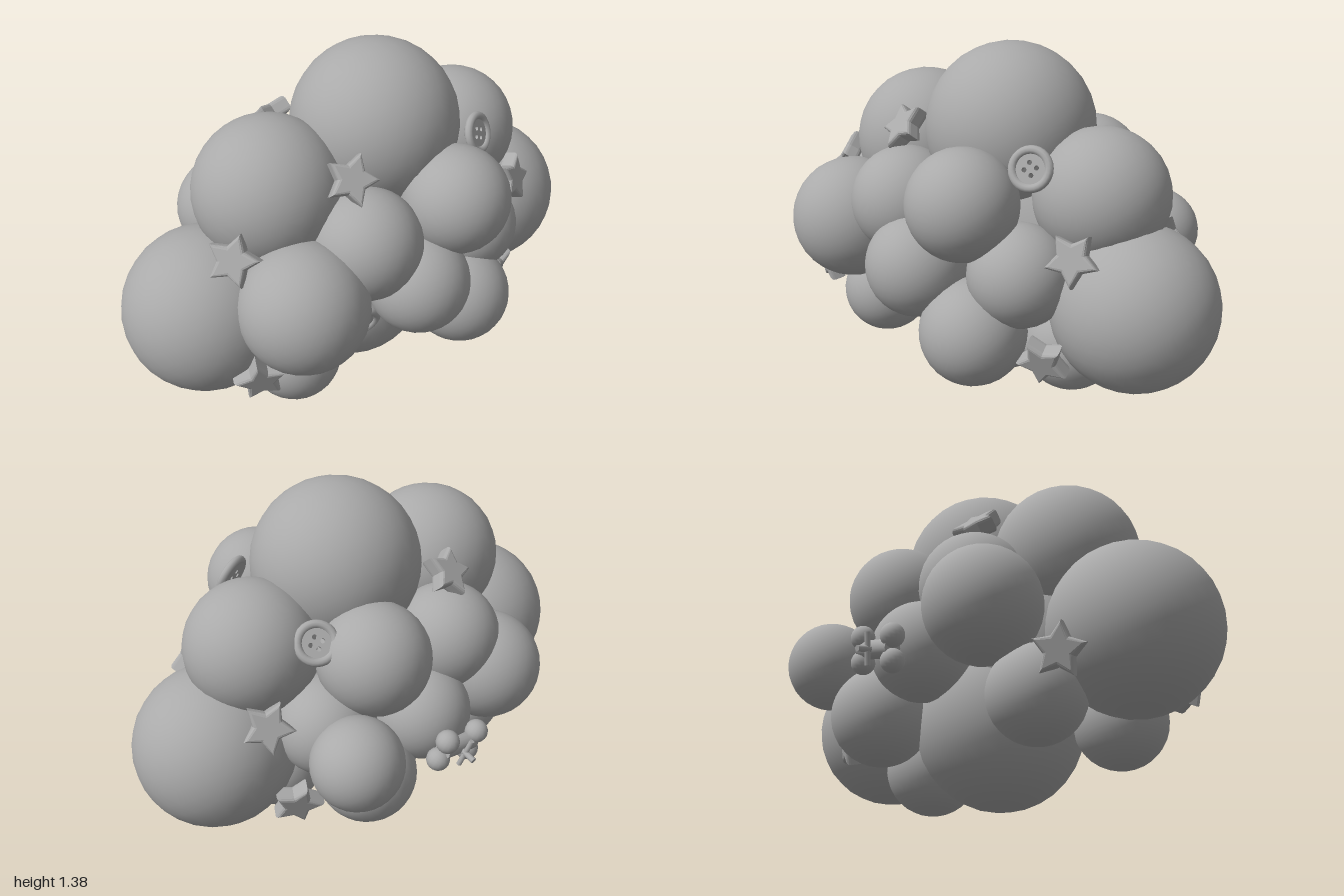
import * as THREE from 'three';

const grey = new THREE.MeshStandardMaterial({ color: 0xaaaaaa });
grey.name = 'plain grey';

function add(parent, name, geometry) {
  const mesh = new THREE.Mesh(geometry, grey);
  mesh.name = name;
  parent.add(mesh);
  return mesh;
}

// Turns a part so that its local +z points along the given outward normal
function place(part, position, normal) {
  part.position.set(...position);
  part.quaternion.setFromUnitVectors(new THREE.Vector3(0, 0, 1), new THREE.Vector3(...normal).normalize());
  return part;
}

// Puffy five-pointed star
function starGeometry(radius) {
  const shape = new THREE.Shape();
  for (let i = 0; i < 10; i++) {
    const r = i % 2 ? radius * 0.5 : radius;
    const a = Math.PI / 2 + (i * Math.PI) / 5;
    const p = [r * Math.cos(a), r * Math.sin(a)];
    if (i) shape.lineTo(...p); else shape.moveTo(...p);
  }
  shape.closePath();
  const geometry = new THREE.ExtrudeGeometry(shape, {
    depth: 0.035, bevelEnabled: true, bevelThickness: 0.016, bevelSize: 0.013, bevelSegments: 3,
  });
  return geometry.translate(0, 0, -0.018);
}

// Sewing button: rounded rim around a recessed disc with four holes
function makeButton(radius) {
  const button = new THREE.Group();
  button.name = 'button';
  add(button, 'buttonRim', new THREE.TorusGeometry(radius * 0.84, radius * 0.2, 10, 28));
  const disc = new THREE.Shape();
  disc.absarc(0, 0, radius * 0.78, 0, Math.PI * 2);
  for (const x of [-1, 1]) for (const y of [-1, 1]) {
    const hole = new THREE.Path();
    hole.absarc(x * radius * 0.2, y * radius * 0.2, radius * 0.11, 0, Math.PI * 2, true);
    disc.holes.push(hole);
  }
  const face = new THREE.ExtrudeGeometry(disc, { depth: 0.02, bevelEnabled: false, curveSegments: 16 });
  add(button, 'buttonFace', face).position.z = -0.015;
  return button;
}

export function createModel() {
  const model = new THREE.Group();
  model.name = 'ballCluster';

  // Balls: x, y, z, radius
  const centreBalls = [
    [0.045, 0.52, 0.685, 0.315], // front
    [0.035, 0.925, 0.385, 0.285], // upper front
    [0.04, 1.055, -0.09, 0.325], // top
    [0.02, 0.33, 0.02, 0.325], // bottom
    [0.03, 0.495, -0.69, 0.31], // back
    [0.01, 0.87, -0.51, 0.253], // upper back
    [0.04, 0.265, -0.41, 0.19], // lower back
  ];
  const leftBalls = [
    [0.38, 0.645, 0.465, 0.242],
    [0.35, 0.78, 0.17, 0.21],
    [0.408, 0.862, -0.197, 0.207],
    [0.45, 0.59, 0, 0.197],
    [0.412, 0.385, -0.25, 0.2],
    [0.3, 0.61, -0.375, 0.192],
    [0.245, 0.295, 0.43, 0.18],
  ];
  const rightBalls = [
    [-0.365, 0.603, 0.345, 0.217],
    [-0.275, 0.76, 0.2, 0.21],
    [-0.308, 0.845, -0.2, 0.213],
    [-0.36, 0.54, 0, 0.19],
    [-0.34, 0.36, -0.26, 0.193],
    [-0.475, 0.58, -0.42, 0.172],
    [-0.25, 0.6, -0.38, 0.19],
    [-0.17, 0.3, 0.41, 0.182],
  ];
  const groups = { centreBall: centreBalls, leftBall: leftBalls, rightBall: rightBalls };
  for (const [name, balls] of Object.entries(groups)) {
    for (const [x, y, z, r] of balls) {
      add(model, name, new THREE.IcosahedronGeometry(r, 5)).position.set(x, y, z);
    }
  }

  // Inner core closes the gaps between the balls
  const core = add(model, 'core', new THREE.IcosahedronGeometry(1, 4));
  core.scale.set(0.28, 0.42, 0.52);
  core.position.set(0.02, 0.62, 0);

  // Stars: position, outward normal
  const stars = [
    [[0.31, 1.05, 0.21], [0.75, 0.6, 0.2]],
    [[0.23, 0.845, 0.65], [0.6, 0.5, 0.6]],
    [[0.37, 0.4, 0.655], [0.85, -0.2, 0.35]],
    [[0.285, 0.73, -0.605], [0.85, 0.35, -0.35]],
    [[0.325, 0.33, -0.515], [0.85, -0.3, -0.35]],
    [[-0.265, 1.03, 0.2], [-0.7, 0.65, 0.15]],
    [[-0.23, 0.7, -0.625], [-0.75, 0.4, -0.4]],
    [[-0.28, 0.34, -0.55], [-0.8, -0.2, -0.45]],
    [[-0.265, 0.37, 0.615], [-0.8, -0.3, 0.45]],
  ];
  const star = starGeometry(0.082);
  for (const [position, normal] of stars) place(add(model, 'star', star), position, normal);

  // Buttons: position, outward normal
  const buttons = [
    [[0.28, 1.01, -0.405], [0.85, 0.35, -0.35]],
    [[0.385, 0.445, 0.22], [0.9, -0.3, 0.15]],
    [[-0.245, 0.97, -0.41], [-0.7, 0.6, -0.35]],
  ];
  for (const [position, normal] of buttons) model.add(place(makeButton(0.08), position, normal));

  // Side charm: two lobed ends joined by a bar, with a small crossed peg
  const charm = new THREE.Group();
  charm.name = 'sideCharm';
  for (const side of [-1, 1]) {
    for (const end of [-1, 1]) {
      const lobe = add(charm, 'charmLobe', new THREE.SphereGeometry(0.045, 16, 12));
      lobe.position.set(side * 0.085, end * 0.045, 0);
    }
  }
  const bar = add(charm, 'charmBar', new THREE.CylinderGeometry(0.035, 0.035, 0.17, 14));
  bar.rotation.z = Math.PI / 2;
  const peg = add(charm, 'charmPeg', new THREE.CylinderGeometry(0.012, 0.012, 0.1, 10));
  peg.rotation.x = Math.PI / 2;
  peg.position.z = 0.04;
  add(charm, 'charmCrossPeg', new THREE.CylinderGeometry(0.01, 0.01, 0.12, 10)).position.z = 0.045;
  model.add(place(charm, [-0.56, 0.49, 0], [-0.95, -0.25, 0]));

  return model;
}
